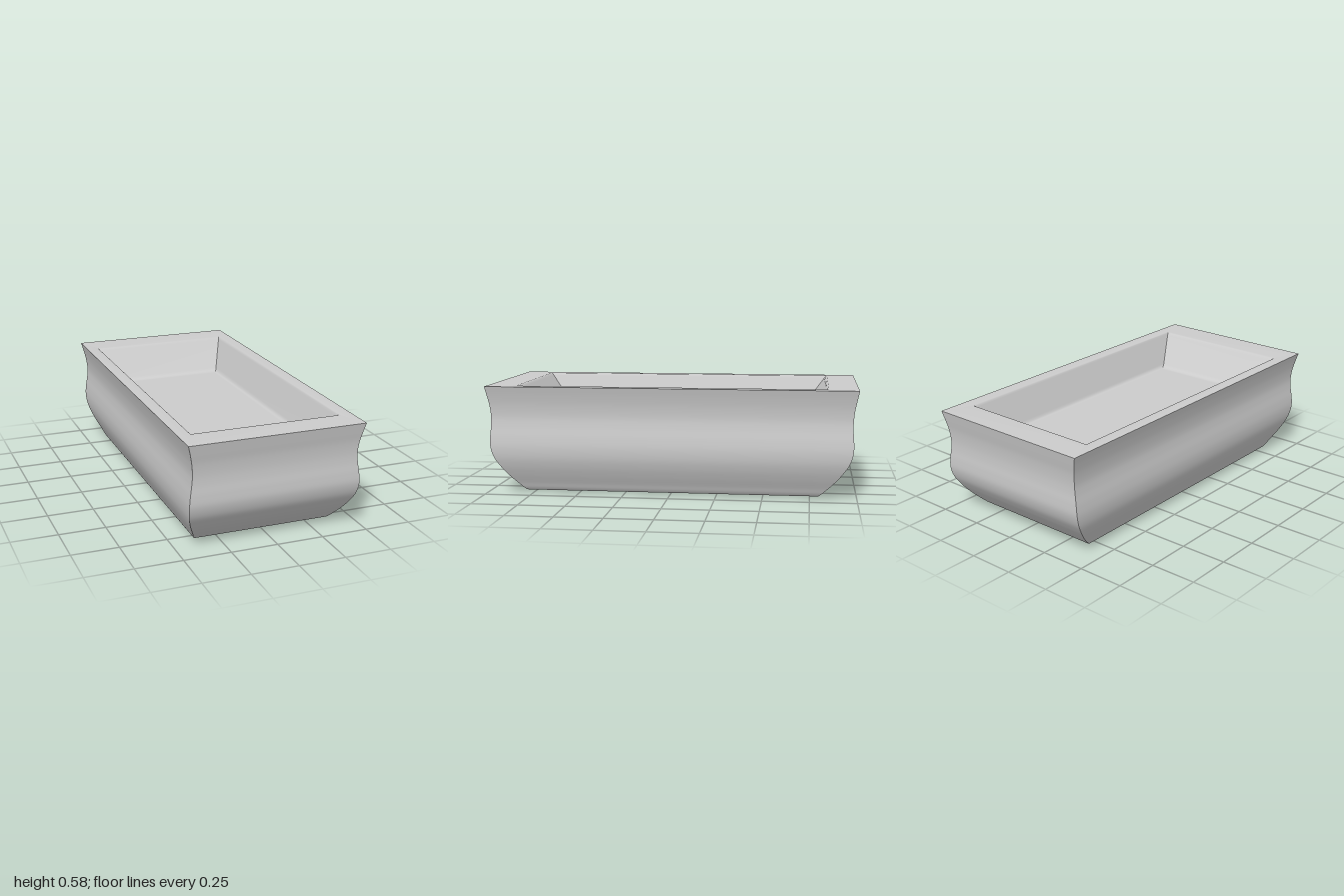
import * as THREE from 'three';

const material = new THREE.MeshStandardMaterial({ color: 0xcccccc });
const CORNERS = [[1, 1], [1, -1], [-1, -1], [-1, 1]];

// Sweeps a profile of (half width, height, half depth) around a rectangle.
// Each side owns its vertices: smooth along the profile, sharp at the mitred corners.
function rectangularLoft(name, profile) {
  const positions = [], indices = [];
  CORNERS.forEach((a, side) => {
    const b = CORNERS[(side + 1) % 4];
    const start = positions.length / 3;
    profile.forEach((p, i) => {
      for (const [sx, sz] of [a, b]) positions.push(sx * p.x, p.y, sz * p.z);
      if (i === 0) return;
      const k = start + 2 * (i - 1);
      indices.push(k, k + 1, k + 3, k, k + 3, k + 2);
    });
  });
  const geometry = new THREE.BufferGeometry();
  geometry.setAttribute('position', new THREE.Float32BufferAttribute(positions, 3));
  geometry.setIndex(indices);
  geometry.computeVertexNormals();
  const mesh = new THREE.Mesh(geometry, material);
  mesh.name = name;
  return mesh;
}

const points = (rows) => rows.map((r) => new THREE.Vector3(...r));

export function createModel() {
  const group = new THREE.Group();
  group.name = 'basin';

  // Outer wall: rounded foot, bulging belly, narrow waist and flared lip
  const wall = new THREE.CatmullRomCurve3(points([
    [0.345, 0.004, 0.77], [0.37, 0.007, 0.797], [0.381, 0.02, 0.813],
    [0.395, 0.05, 0.845], [0.42, 0.1, 0.892], [0.441, 0.15, 0.93],
    [0.455, 0.2, 0.96], [0.46, 0.255, 0.976], [0.456, 0.31, 0.977],
    [0.447, 0.37, 0.973], [0.443, 0.42, 0.973], [0.448, 0.48, 0.979],
    [0.459, 0.535, 0.99], [0.472, 0.585, 1],
  ])).getPoints(78);
  // Slightly crowned underside, closed at the centre
  const base = points([[0, 0, 0], [0.28, 0.001, 0.53]]);
  group.add(rectangularLoft('outerBody', [...base, ...wall]));

  // Flat rim, sloping inner walls and flat floor with softened edges
  group.add(rectangularLoft('rimAndBasin', points([
    [0.472, 0.585, 1], [0.405, 0.585, 0.842], [0.4, 0.58, 0.834],
    [0.396, 0.57, 0.826], [0.334, 0.42, 0.71], [0.327, 0.407, 0.695],
    [0.318, 0.401, 0.682], [0.305, 0.4, 0.665], [0, 0.4, 0],
  ])));

  return group;
}
